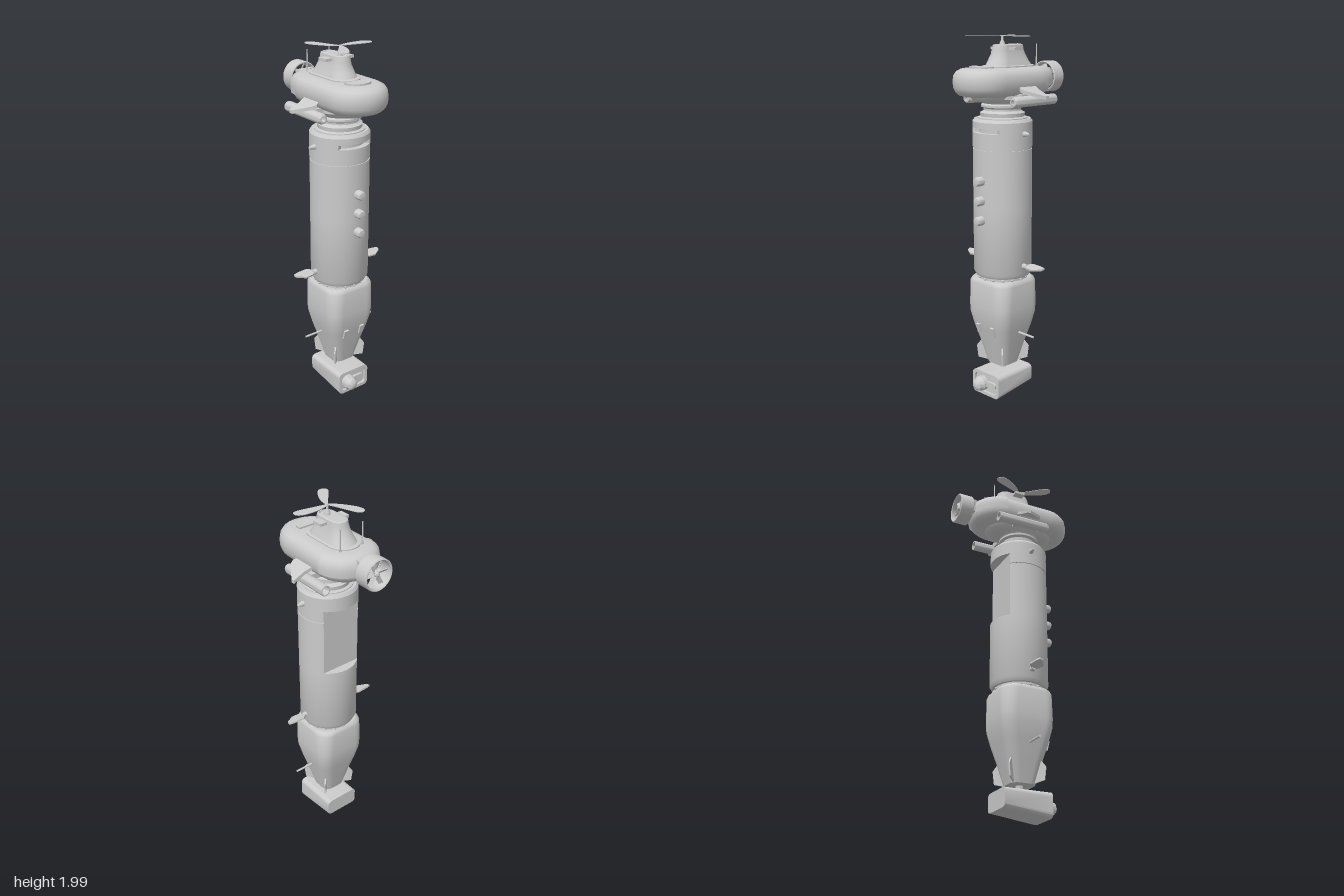
import * as THREE from 'three';
import { toCreasedNormals } from 'three/addons/utils/BufferGeometryUtils.js';

const mat = new THREE.MeshStandardMaterial({ color: 0xcccccc, side: THREE.DoubleSide });
const AXIS = 0.05; // z of the vertical body axis

export function createModel() {
  const model = new THREE.Group();

  function add(name, geo, x = 0, y = 0, z = 0, parent = model) {
    const mesh = new THREE.Mesh(toCreasedNormals(geo, 0.6), mat);
    mesh.name = name;
    mesh.position.set(x, y, z);
    parent.add(mesh);
    return mesh;
  }
  // Skin a stack of horizontal [x, z] rings: sections are [y, ring]
  function loft(sections, closed = true) {
    const n = sections[0][1].length, pos = [], idx = [];
    for (const [y, ring] of sections) for (const [x, z] of ring) pos.push(x, y, z);
    for (let j = 0; j < sections.length - 1; j++) {
      for (let i = 0; i < (closed ? n : n - 1); i++) {
        const a = j * n + i, b = j * n + (i + 1) % n;
        idx.push(a, a + n, b, a + n, b + n, b);
      }
    }
    if (closed) [0, sections.length - 1].forEach((s, top) => {
      const [y, ring] = sections[s], c = pos.length / 3;
      const mean = k => ring.reduce((sum, p) => sum + p[k], 0) / n;
      pos.push(mean(0), y, mean(1));
      for (let i = 0; i < n; i++) {
        const a = s * n + i, b = s * n + (i + 1) % n;
        idx.push(c, top ? b : a, top ? a : b);
      }
    });
    const g = new THREE.BufferGeometry();
    g.setAttribute('position', new THREE.Float32BufferAttribute(pos, 3));
    g.setIndex(idx);
    return g;
  }
  const ringOf = (n, f, span = 2 * Math.PI, start = 0, open = 0) =>
    Array.from({ length: n }, (_, i) => f(start + span * i / (n - open)));
  const circle = r => ringOf(64, a => [r * Math.cos(a), r * Math.sin(a)]);
  // Pill outline: radius r, round ends centred at z0 (back) and z1 (front)
  const pill = (r, z0, z1) => {
    const end = (s, zc) => ringOf(13, a => [r * Math.cos(a), zc + r * Math.sin(a)], Math.PI, s, 1);
    return [...end(0, z1), ...end(Math.PI, z0)];
  };
  // Rounded square outline: half width h, corner radius c
  const softSquare = (h, c) => ringOf(40, a => {
    const q = Math.floor(a / (Math.PI / 2) + 1e-6), k = (a / (Math.PI / 2) - q) * Math.PI / 2 * 10 / 9;
    const ang = q * Math.PI / 2 + k, m = q * Math.PI / 2 + Math.PI / 4;
    return [Math.SQRT2 * (h - c) * Math.cos(m) + c * Math.cos(ang), Math.SQRT2 * (h - c) * Math.sin(m) + c * Math.sin(ang)];
  });
  const lathe = (pts, n = 40) => new THREE.LatheGeometry(pts.map(p => new THREE.Vector2(...p)), n);
  const box = (w, h, d) => new THREE.BoxGeometry(w, h, d);
  const cyl = (r0, r1, h, n = 24) => new THREE.CylinderGeometry(r0, r1, h, n);
  const polygon = pts => new THREE.Shape(pts.map(p => new THREE.Vector2(...p)));
  const extrude = (shape, depth) => new THREE.ExtrudeGeometry(shape, { depth, bevelEnabled: false });
  // Flat plate in x-z from [x, z] corners, drooping with x
  function plate(pts, thick, slope = 0, x0 = 0) {
    const g = extrude(polygon(pts), thick).rotateX(Math.PI / 2), p = g.attributes.position;
    for (let i = 0; i < p.count; i++) p.setY(i, p.getY(i) + (Math.abs(p.getX(i)) - x0) * slope);
    g.computeVertexNormals();
    return g;
  }

  // Swivel camera housing, lower edge rising to the back
  function roundRect(w, h, r) {
    const s = new THREE.Shape();
    s.absarc(w - r, h - r, r, 0, Math.PI / 2).absarc(r - w, h - r, r, Math.PI / 2, Math.PI);
    s.absarc(r - w, r - h, r, Math.PI, Math.PI * 1.5).absarc(w - r, r - h, r, Math.PI * 1.5, Math.PI * 2);
    s.closePath();
    return s;
  }
  const housing = extrude(roundRect(0.103, 0.068, 0.028), 0.255), hp = housing.attributes.position;
  for (let i = 0; i < hp.count; i++) {
    const f = 1 - hp.getZ(i) / 0.255;
    hp.setY(i, 0.068 - (0.068 - hp.getY(i)) * (1 - 0.25 * f));
  }
  add('cameraHousing', housing, 0, 0.077, -0.08);
  const bezel = roundRect(0.103, 0.068, 0.028);
  bezel.holes.push(roundRect(0.085, 0.05, 0.02));
  add('cameraBezel', extrude(bezel, 0.015), 0, 0.077, 0.175);
  add('cameraLens', lathe([[0.042, 0], [0.042, 0.035], [0.034, 0.045], [0.032, 0.06], [0.02, 0.07], [0, 0.073]]).rotateX(Math.PI / 2), -0.033, 0.072, 0.168);
  add('cameraSlot', extrude(roundRect(0.04, 0.016, 0.015), 0.02), 0.035, 0.078, 0.17);
  add('swivelStem', cyl(0.02, 0.02, 0.06), 0, 0.16, AXIS);

  // Tapered lower section, soft square in plan
  add('lowerSection', loft([[0.18, 0.072, 0.045], [0.3, 0.103, 0.058], [0.4, 0.13, 0.063], [0.48, 0.148, 0.068], [0.53, 0.151, 0.07],
    [0.665, 0.151, 0.08], [0.68, 0.147, 0.085], [0.69, 0.137, 0.085]].map(([y, h, c]) => [y, softSquare(h, c)])), 0, 0, AXIS);
  add('collar', cyl(0.135, 0.135, 0.04, 48), 0, 0.7, AXIS);
  for (let i = 0; i < 16; i++) {
    const a = i * Math.PI / 8;
    add('collarBolt', new THREE.SphereGeometry(0.008, 8, 6), 0.136 * Math.cos(a), 0.697, AXIS + 0.136 * Math.sin(a));
  }
  for (const s of [-1, 1]) {
    add('sideRod', cyl(0.006, 0.006, 0.13, 10).rotateZ(Math.PI / 2), s * 0.17, 0.383, AXIS);
    add('frontBracket', box(0.026, 0.055, 0.03), s * 0.055, 0.4, 0.175).rotation.x = 0.26;
    for (const t of [-1, 1]) { // corner fins
      const fin = add('cornerFin', extrude(polygon([[0.065, 0.18], [0.14, 0.2], [0.148, 0.27], [0.125, 0.3], [0.1, 0.3]]), 0.008), 0, 0, AXIS);
      fin.rotation.y = Math.atan2(-t, s);
    }
  }

  // Main hull: cylinder with a flat cut at the back and a slot in the front of the cap
  const flat = r => circle(r).map(([x, z]) => [x, Math.max(z, -0.11)]);
  const notch = r => circle(r).map(([x, z]) => (z > 0 && Math.abs(x) < 0.1 ? [x * 0.8, z * 0.8] : [x, z]));
  add('mainHull', loft([
    [0.708, circle(0.148)], [0.73, circle(0.16)], [1.095, circle(0.16)], [1.095, flat(0.16)], [1.408, flat(0.16)], [1.408, flat(0.155)],
    [1.418, flat(0.155)], [1.418, flat(0.161)], [1.48, flat(0.161)], [1.48, circle(0.161)], [1.497, circle(0.161)], [1.497, notch(0.161)],
    [1.522, notch(0.161)], [1.522, circle(0.161)], [1.555, circle(0.161)], [1.57, circle(0.15)]]), 0, 0, AXIS);
  for (const y of [1.245, 1.138, 1.03]) // front lamps
    add('frontLamp', lathe([[0.025, 0], [0.025, 0.04], [0.02, 0.05], [0, 0.054]], 20).rotateX(Math.PI / 2), 0, y, 0.2);
  for (const s of [-1, 1]) {
    add('sideNozzle', cyl(0.006, 0.016, 0.04, 16).rotateZ(-s * Math.PI / 2), s * 0.176, 1.496, AXIS);
    add('hullFinPivot', cyl(0.013, 0.016, 0.03, 16).rotateZ(-s * Math.PI / 2), s * 0.168, 0.775, AXIS);
    const fin = add('hullFin', plate([[0.172, 0.04], [0.2, 0.015], [0.262, 0.02], [0.292, 0.027], [0.288, 0.048], [0.24, 0.078], [0.2, 0.075], [0.172, 0.058]].map(([x, z]) => [s * x, z]), 0.01), 0, 0.782, 0);
    fin.geometry.translate(0, 0, -AXIS);
    fin.position.z = AXIS;
    fin.rotation.x = 0.2;
  }

  // Ribbed neck
  add('neck', lathe([[0, 1.56], [0.135, 1.565], [0.135, 1.575], [0.118, 1.58], [0.12, 1.6], [0.108, 1.605], [0.1, 1.612], [0.1, 1.622],
    [0.115, 1.63], [0.115, 1.642], [0.1, 1.648], [0.11, 1.66], [0.13, 1.675], [0.13, 1.7]]), 0, 0, AXIS);

  // Head: pill-shaped pod with a belly plate
  const headProfile = [[1.69, 0.1], [1.697, 0.135], [1.712, 0.153], [1.735, 0.164], [1.77, 0.167], [1.8, 0.162], [1.82, 0.148], [1.832, 0.125], [1.836, 0.1]];
  add('headPod', loft(headProfile.map(([y, r]) => [y, pill(r, -0.085, 0.18)])));
  add('bellyPlate', loft([[1.66, 0.07], [1.672, 0.095], [1.695, 0.11]].map(([y, r]) => [y, pill(r, -0.05, 0.14)])));
  add('rearCowl', loft(headProfile.slice(3).map(([y, r]) => [y + 0.002, ringOf(9, a => [(r + 0.009) * Math.cos(a), -0.1 + (r - 0.005) * Math.sin(a)], Math.PI, Math.PI, 1)]), false));
  add('thrusterMount', loft([1.745, 1.825].map(y => [y, [[-0.035, -0.17], [0.035, -0.17], [0.055, -0.265], [-0.055, -0.265]].reverse()])));
  add('frontHatch', loft([1.83, 1.845].map(y => [y, [[0.074, 0.183], ...ringOf(9, a => [0.074 * Math.cos(a), 0.2 + 0.058 * Math.sin(a)], Math.PI, 0, 1), [-0.074, 0.183]]])));

  // Conning tower
  add('towerBase', loft([[1.83, 0.085], [1.842, 0.085], [1.845, 0.075]].map(([y, r]) => [y, pill(r, -0.075, 0.085)])));
  add('tower', loft([[1.84, 0.075, -0.07, 0.075], [1.87, 0.064, -0.055, 0.068], [1.905, 0.053, -0.045, 0.06], [1.925, 0.05, -0.04, 0.06],
    [1.95, 0.047, -0.038, 0.055], [1.953, 0.034, -0.045, 0.06], [1.945, 0.03, -0.045, 0.06]].map(([y, r, a, b]) => [y, pill(r, a, b)])));
  add('crossBar', box(0.18, 0.014, 0.06), 0, 1.932, 0.02);
  for (const s of [-1, 1]) {
    add('antennaFoot', cyl(0.004, 0.012, 0.025, 3), s * 0.07, 1.84, -0.138);
    add('antenna', cyl(0.003, 0.004, 0.13, 8), s * 0.07, 1.89, -0.138);
  }

  // Top rotor, three paddle blades
  add('rotorMast', lathe([[0.016, 1.945], [0.014, 1.96], [0.006, 1.975], [0.006, 2], [0, 2]], 16), 0, 0, AXIS);
  for (let i = 0; i < 3; i++) {
    const s = new THREE.Shape();
    s.moveTo(0, -0.005);
    s.bezierCurveTo(0.04, -0.028, 0.08, -0.032, 0.14, -0.03);
    s.bezierCurveTo(0.18, -0.026, 0.2, -0.012, 0.196, 0.012);
    s.bezierCurveTo(0.19, 0.034, 0.165, 0.032, 0.13, 0.026);
    s.bezierCurveTo(0.08, 0.018, 0.05, 0.008, 0, 0.005);
    add('rotorBlade', extrude(s, 0.003).rotateX(Math.PI / 2), 0, 1.998, AXIS).rotation.y = i * Math.PI * 2 / 3;
  }

  // Rear ducted thruster
  const thruster = new THREE.Group();
  thruster.name = 'rearThruster';
  thruster.position.set(0, 1.772, -0.31);
  model.add(thruster);
  add('duct', lathe([[0.08, -0.04], [0.085, -0.036], [0.085, 0.036], [0.08, 0.04], [0.074, 0.036], [0.074, -0.036], [0.08, -0.04]], 40).rotateX(Math.PI / 2), 0, 0, 0, thruster);
  add('hub', lathe([[0, -0.035], [0.012, -0.028], [0.016, -0.01], [0.014, 0.05], [0, 0.06]], 16).rotateX(Math.PI / 2), 0, 0, 0, thruster);
  for (let i = 0; i < 6; i++) {
    const spoke = new THREE.Group();
    spoke.rotation.z = i * Math.PI / 3;
    thruster.add(spoke);
    add('thrusterBlade', box(0.066, 0.024, 0.004), 0.043, 0, -0.01, spoke).rotation.x = 0.7;
  }

  // Side tubes and drooping head fins
  for (const s of [-1, 1]) {
    add('sideTube', lathe([[0.018, -0.12], [0.022, -0.16], [0.028, -0.16], [0.028, 0.135], [0.022, 0.15], [0.013, 0.152], [0.013, 0.1], [0, 0.1]], 24).rotateX(Math.PI / 2), s * 0.176, 1.667, 0);
    add('tubeBracket', box(0.07, 0.03, 0.12), s * 0.135, 1.688, 0.02);
    add('headFin', plate([[0.155, -0.035], [0.2, -0.022], [0.265, -0.022], [0.265, 0], [0.2, 0.09], [0.18, 0.1], [0.155, 0.085]].map(([x, z]) => [s * x, z]), 0.018, -0.45, 0.155), 0, 1.745, 0);
  }
  return model;
}
